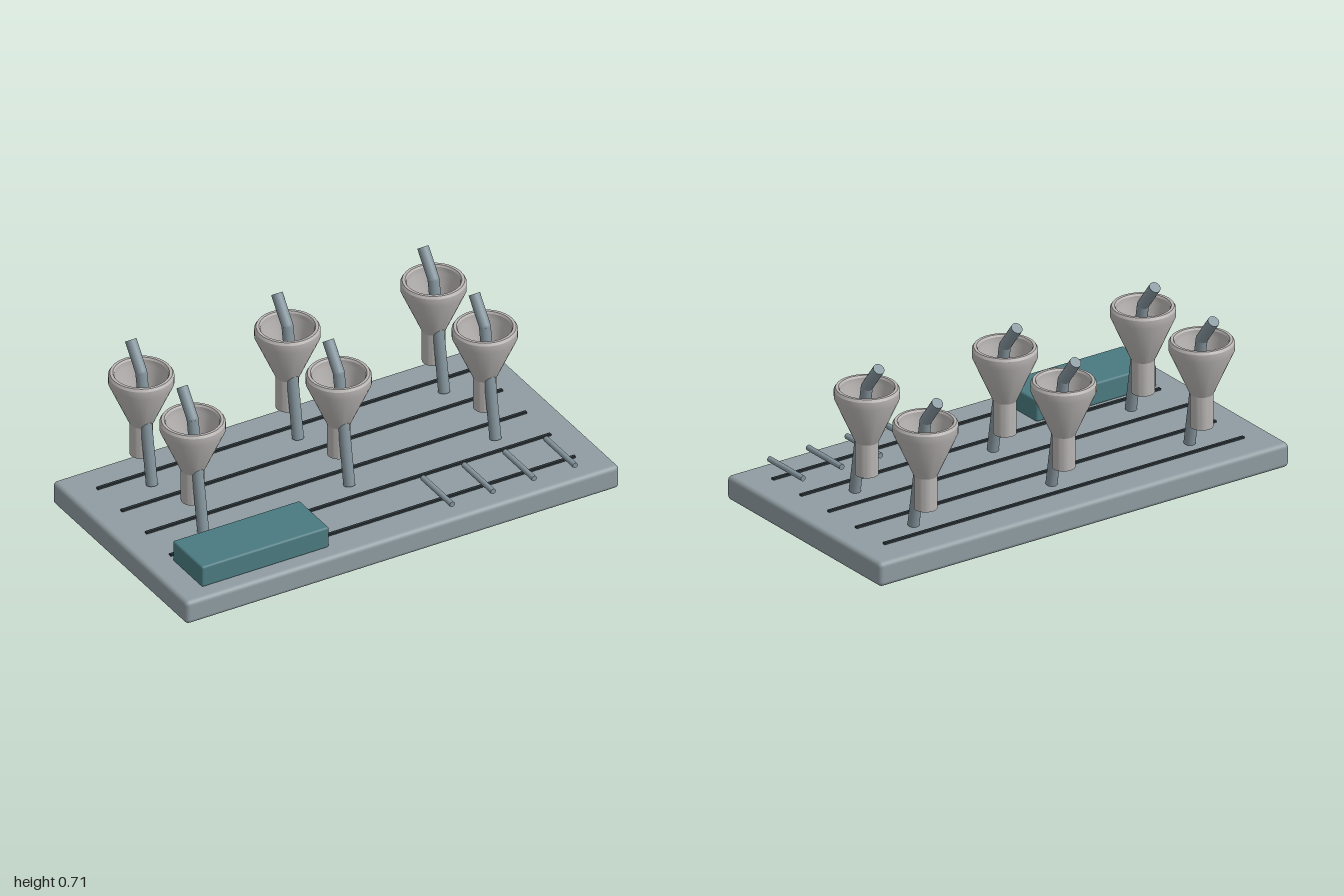
import * as THREE from 'three';
import { toCreasedNormals } from 'three/addons/utils/BufferGeometryUtils.js';
import { RoundedBoxGeometry } from 'three/addons/geometries/RoundedBoxGeometry.js';

const mat = (name, color) => {
  const m = new THREE.MeshStandardMaterial({ color });
  m.name = name;
  return m;
};

export function createModel() {
  const slate = mat('slateGrey', 0x8f9ca1);
  const steel = mat('steelGrey', 0x84949c);
  const shell = mat('warmGrey', 0xb8b5b3);
  const teal = mat('teal', 0x4a7a80);
  const dark = mat('darkLine', 0x2a3337);

  const root = new THREE.Group();
  root.name = 'funnelBoard';
  const add = (parent, name, geometry, material, x = 0, y = 0, z = 0) => {
    const mesh = new THREE.Mesh(geometry, material);
    mesh.name = name;
    mesh.position.set(x, y, z);
    parent.add(mesh);
    return mesh;
  };

  // Board and block
  add(root, 'baseBoard', new RoundedBoxGeometry(2, 0.105, 1.052, 3, 0.02), slate, 0, 0.0525, 0);
  add(root, 'tealBlock', new RoundedBoxGeometry(0.587, 0.095, 0.232, 2, 0.009), teal, -0.592, 0.15, 0.338);

  // Dark strips along the board
  const strip = new THREE.BoxGeometry(1.755, 0.009, 0.013);
  for (let i = -2; i <= 2; i++) add(root, 'strip', strip, dark, 0, 0.109, i * 0.19);

  // Row of short pegs
  const peg = new THREE.CylinderGeometry(0.012, 0.012, 0.23, 16);
  peg.rotateX(Math.PI / 2);
  for (let i = 0; i < 4; i++) add(root, 'peg', peg, steel, 0.251 + i * 0.189, 0.142, 0.369);

  // Funnel wall: up the outside, over the lip, down the inside to its floor
  const profile = [
    [0, 0.212], [0.047, 0.212], [0.047, 0.355], [0.052, 0.365], [0.132, 0.545], [0.132, 0.579],
    [0.125, 0.59], [0.113, 0.59], [0.108, 0.582], [0.108, 0.555], [0.042, 0.362], [0, 0.362],
  ].map(([r, y]) => new THREE.Vector2(r, y));
  const funnel = toCreasedNormals(new THREE.LatheGeometry(profile, 36), 0.45);

  // Bent rod running from the board through the funnel
  const rodRadius = 0.024;
  const foot = new THREE.Vector3(0, 0.108, 0.083);
  const bend = new THREE.Vector3(0, 0.592, 0);
  const tip = new THREE.Vector3(0, 0.698, -0.082);
  const up = new THREE.Vector3(0, 1, 0);
  const rodBetween = (a, b) => {
    const dir = b.clone().sub(a);
    const g = new THREE.CylinderGeometry(rodRadius, rodRadius, dir.length(), 20);
    g.applyQuaternion(new THREE.Quaternion().setFromUnitVectors(up, dir.normalize()));
    const mid = a.clone().add(b).multiplyScalar(0.5);
    return g.translate(mid.x, mid.y, mid.z);
  };
  const lowerRod = rodBetween(foot, bend);
  const upperRod = rodBetween(bend, tip);
  const joint = new THREE.SphereGeometry(rodRadius, 20, 12);

  for (const z of [0.021, -0.38]) {
    for (const x of [-0.674, 0, 0.674]) {
      const unit = new THREE.Group();
      unit.name = 'funnelUnit';
      unit.position.set(x, 0, z);
      add(unit, 'funnel', funnel, shell);
      add(unit, 'lowerRod', lowerRod, steel);
      add(unit, 'upperRod', upperRod, steel);
      add(unit, 'rodJoint', joint, steel, bend.x, bend.y, bend.z);
      root.add(unit);
    }
  }
  return root;
}
